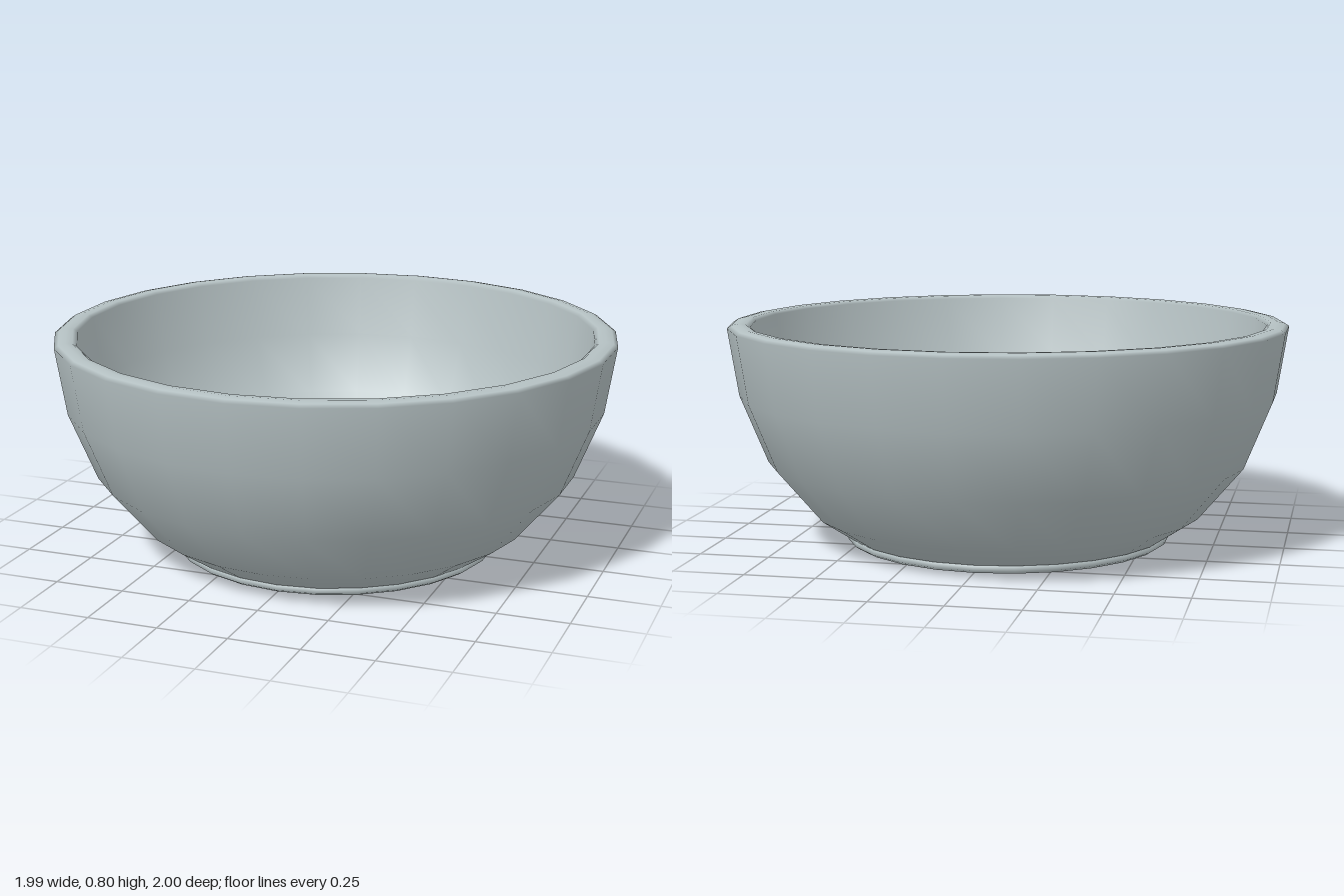
import * as THREE from 'three';

const SIDES = 26;

// Revolves a list of [radius, height] pairs into a smooth-shaded solid
function turned(name, profile, material) {
  const points = profile.map(([r, y]) => new THREE.Vector2(r, y));
  const mesh = new THREE.Mesh(new THREE.LatheGeometry(points, SIDES), material);
  mesh.name = name;
  return mesh;
}

export function createModel() {
  const glaze = new THREE.MeshStandardMaterial({ color: 0xb4c0c2 });
  glaze.name = 'grey glaze';

  const bowl = new THREE.Group();
  bowl.name = 'bowl';

  // Thick wall: up the outside, over the rounded rim, down the inside
  bowl.add(turned('wall', [
    [0.585, 0.03], [0.705, 0.11], [0.865, 0.3], [0.962, 0.54], [1, 0.78],
    [0.985, 0.79], [0.96, 0.795], [0.935, 0.793], [0.92, 0.783],
    [0.885, 0.56], [0.795, 0.34], [0.65, 0.16], [0.545, 0.075], [0.53, 0.035],
  ], glaze));

  // Foot disc with a rounded edge; its top closes the inside of the bowl
  bowl.add(turned('foot', [
    [0, 0], [0.555, 0], [0.57, 0], [0.585, 0.01], [0.583, 0.025],
    [0.575, 0.035], [0.535, 0.04], [0.53, 0.05], [0, 0.052],
  ], glaze));

  return bowl;
}
